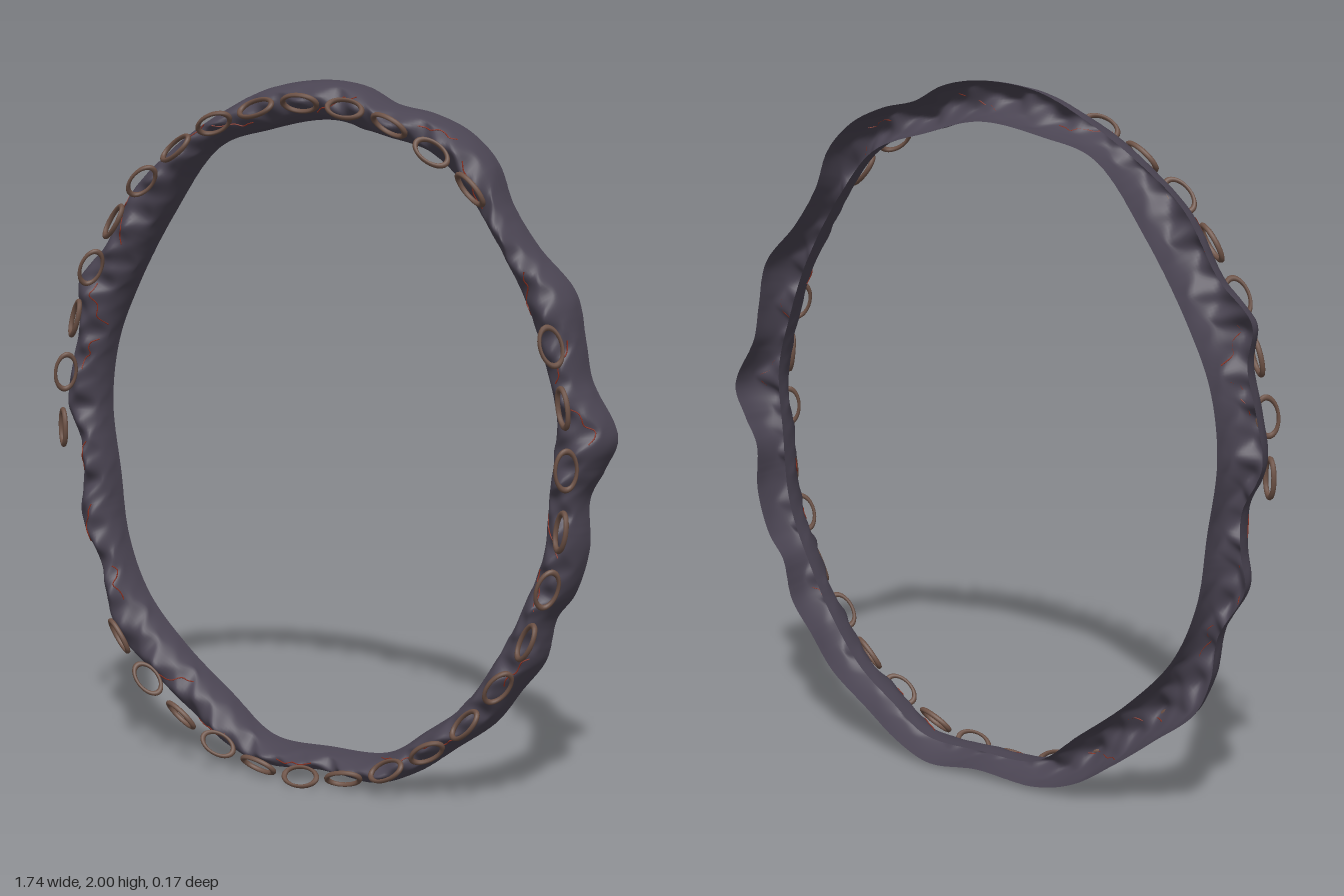
import * as THREE from 'three';

const CY = 0.99, N = 600;
const stone = new THREE.MeshStandardMaterial({ color: 0x4a4452, side: THREE.DoubleSide });
const bronze = new THREE.MeshStandardMaterial({ color: 0x6b5044 });
const ember = new THREE.MeshStandardMaterial({ color: 0x8c3020 });

// Outlines as x, y pairs, clockwise from the top
const OUTER = [0, 2, .12, 1.98, .21, 1.935, .32, 1.91, .43, 1.86, .51, 1.78, .555, 1.67, .63, 1.56, .74, 1.44, .77, 1.31,
  .79, 1.21, .865, 1.06, .83, .97, .79, .89, .79, .75, .75, .62, .70, .55, .67, .43, .60, .335, .525, .235, .40, .14,
  .29, .06, .18, .015, .01, .03, -.18, .02, -.31, .055, -.44, .14, -.57, .24, -.69, .34, -.735, .44, -.755, .57,
  -.83, .71, -.815, .81, -.815, .92, -.87, 1.05, -.85, 1.18, -.82, 1.31, -.83, 1.42, -.73, 1.53, -.625, 1.7,
  -.48, 1.82, -.335, 1.91, -.18, 1.98];
const INNER = [0, 1.89, .17, 1.85, .35, 1.79, .46, 1.67, .59, 1.46, .66, 1.28, .70, 1.13, .69, .94, .67, .73,
  .60, .55, .52, .40, .42, .265, .31, .18, .19, .10, 0, .09, -.19, .10, -.33, .205, -.49, .335, -.62, .48,
  -.69, .65, -.715, .84, -.74, 1.05, -.715, 1.235, -.65, 1.39, -.52, 1.61, -.36, 1.81, -.20, 1.86];

// Turns an outline into radii at N equal angles about the centre
function radii(flat) {
  const pts = [];
  for (let i = 0; i < flat.length; i += 2) pts.push(new THREE.Vector3(flat[i], flat[i + 1] - CY, 0));
  const dense = new THREE.CatmullRomCurve3(pts, true, 'centripetal').getPoints(2400);
  const polar = dense.map(p => [(Math.atan2(p.x, p.y) + 2 * Math.PI) % (2 * Math.PI), Math.hypot(p.x, p.y)]);
  polar.sort((a, b) => a[0] - b[0]);
  let k = 0;
  return Array.from({ length: N }, (_, i) => {
    const a = i / N * 2 * Math.PI;
    while (k < polar.length - 1 && polar[k][0] < a) k++;
    return polar[k][1];
  });
}
const rOut = radii(OUTER), rIn = radii(INNER);

// Cross-section: fraction from inner to outer edge, and depth
const section = new THREE.CatmullRomCurve3([
  [0, -.08], [.03, -.045], [.1, -.015], [.28, .01], [.5, .022], [.7, .012], [.86, -.01], [.96, -.045], [1, -.08],
].map(([f, z]) => new THREE.Vector3(f, z, 0)));

// A point on the carved front: folds run diagonally across the band
function surfacePoint(step, across, lift = 0) {
  const i = ((Math.round(step) % N) + N) % N, u = THREE.MathUtils.clamp(across, 0, 1);
  const a = i / N * 2 * Math.PI, s = section.getPoint(u), crest = Math.sin(Math.PI * u);
  const fold = Math.sin(23 * a + 5 * u) * .45 + Math.sin(41 * a - 9 * u + 1) * .35 + Math.sin(67 * a + 11 * u) * .25;
  const f = s.x + .09 * fold * Math.sin(2 * Math.PI * u) * crest;
  const r = rIn[i] + (rOut[i] - rIn[i]) * f;
  return new THREE.Vector3(r * Math.sin(a), CY + r * Math.cos(a), s.y + crest * (.02 * fold + lift));
}

// Hollow shell swept round the ring, open at the back
function sweepShell(M) {
  const pos = [], idx = [];
  for (let i = 0; i < N; i++) for (let j = 0; j <= M; j++) pos.push(...surfacePoint(i, j / M).toArray());
  for (let i = 0; i < N; i++) for (let j = 0; j < M; j++) {
    const a = i * (M + 1) + j, b = ((i + 1) % N) * (M + 1) + j;
    idx.push(a, b, a + 1, b, b + 1, a + 1);
  }
  const g = new THREE.BufferGeometry();
  g.setAttribute('position', new THREE.Float32BufferAttribute(pos, 3));
  g.setIndex(idx);
  g.computeVertexNormals();
  return g;
}

export function createModel() {
  const model = new THREE.Group();
  model.name = 'ovalFrame';
  const add = (name, geometry, material, parent = model) => {
    const mesh = new THREE.Mesh(geometry, material);
    mesh.name = name;
    parent.add(mesh);
    return mesh;
  };

  // Carved ring
  add('carvedRing', sweepShell(28), stone);

  // Chain of oval links, tilted alternately, with gaps where links are lost
  const chain = new THREE.Group();
  chain.name = 'chain';
  model.add(chain);
  const linkGeo = new THREE.TorusGeometry(.046, .0075, 8, 32).scale(1.12, .66, 1);
  const lost = [5, 6, 24, 25, 26];
  for (let k = 0; k < 36; k++) {
    if (lost.includes(k)) continue;
    const a = k * Math.PI / 18;
    const link = add('chainLink', linkGeo, bronze, chain);
    link.position.set(-.025 + .8 * Math.sin(a), .985 + .952 * Math.cos(a), .06);
    link.rotation.order = 'ZXY';
    link.rotation.z = Math.atan2(-.952 * Math.sin(a), .8 * Math.cos(a));
    link.rotation.x = (k % 2 ? -1 : 1) * .75;
  }

  // Thin glowing cracks wandering over the ring
  const cracks = new THREE.Group();
  cracks.name = 'cracks';
  model.add(cracks);
  for (let k = 0; k < 22; k++) {
    const start = k * N / 22 + 6 * Math.sin(k * 2.3), u0 = .5 + .15 * Math.sin(k * 1.7);
    const pts = [];
    for (let j = 0; j < 7; j++) {
      pts.push(surfacePoint(start + j * 2, u0 + (j - 3) * .06 * Math.cos(k) + .03 * Math.sin(j * 2.1 + k), .002));
    }
    add('crack', new THREE.TubeGeometry(new THREE.CatmullRomCurve3(pts), 18, .0018, 5), ember, cracks);
  }
  return model;
}
